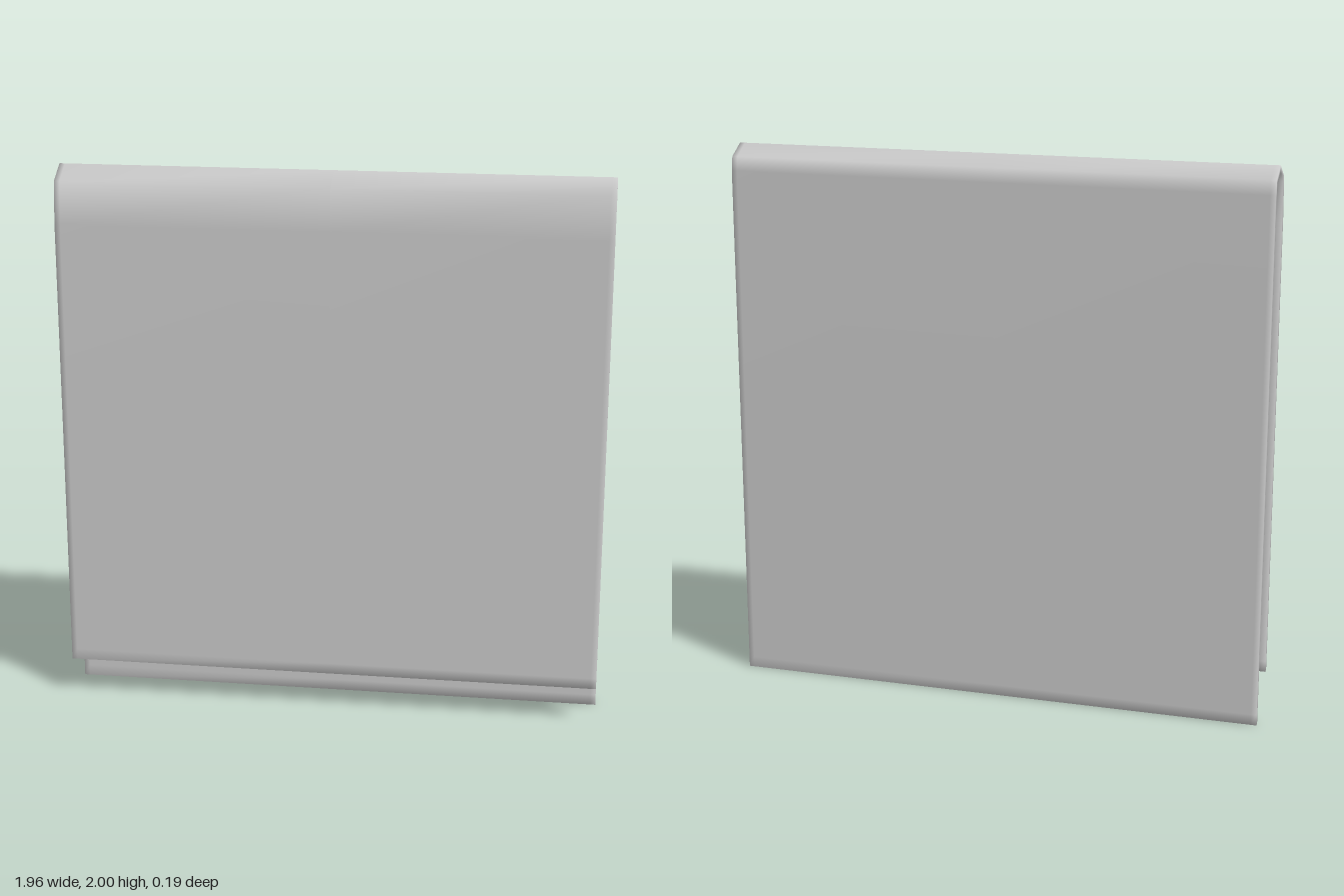
import * as THREE from 'three';

// Cross-section pairs, front hem over the fold to back hem: [outer z, outer y, inner z, inner y]
const SECTION = [
  [0.095, 0.14, 0.075, 0.14],
  [0.095, 0.18, 0.075, 0.18],
  [0.09, 1.0, 0.072, 1.0],
  [0.088, 1.8, 0.068, 1.79],
  [0.073, 1.952, 0.056, 1.937],
  [-0.01, 2.0, -0.01, 1.976],
  [-0.083, 1.96, -0.069, 1.945],
  [-0.092, 1.91, -0.073, 1.9],
  [-0.092, 1.0, -0.072, 1.0],
  [-0.092, 0.04, -0.072, 0.04],
  [-0.092, 0, -0.072, 0],
];
// Stations across the width, with a narrow band at each side hem
const STATIONS = [-0.98, -0.96, 0, 0.96, 0.98];

// Lofts the folded strip along x as one closed, smooth surface
function foldedSheet() {
  const ring = [
    ...SECTION.map(([z, y]) => [z, y]),
    ...SECTION.map(([, , z, y]) => [z, y]).reverse(),
  ];
  const n = ring.length;
  const positions = [];
  const index = [];
  const quad = (a, b, c, d) => index.push(a, b, c, a, c, d);

  for (const x of STATIONS) for (const [z, y] of ring) positions.push(x, y, z);

  // Faces, and the bottom hems where the ring closes
  for (let s = 0; s < STATIONS.length - 1; s++) {
    for (let i = 0; i < n; i++) {
      const j = (i + 1) % n;
      quad(s * n + i, (s + 1) * n + i, (s + 1) * n + j, s * n + j);
    }
  }
  // Side hems
  const end = (STATIONS.length - 1) * n;
  for (let i = 0; i < SECTION.length - 1; i++) {
    const inner = n - 1 - i;
    quad(end + i, end + inner, end + inner - 1, end + i + 1);
    quad(i, i + 1, inner - 1, inner);
  }

  const geometry = new THREE.BufferGeometry();
  geometry.setAttribute('position', new THREE.Float32BufferAttribute(positions, 3));
  geometry.setIndex(index);
  geometry.computeVertexNormals();
  return geometry;
}

export function createModel() {
  const group = new THREE.Group();
  group.name = 'hangingTowel';
  const cloth = new THREE.Mesh(foldedSheet(), new THREE.MeshStandardMaterial({ color: 0xcccccc }));
  cloth.name = 'foldedCloth';
  group.add(cloth);
  return group;
}
